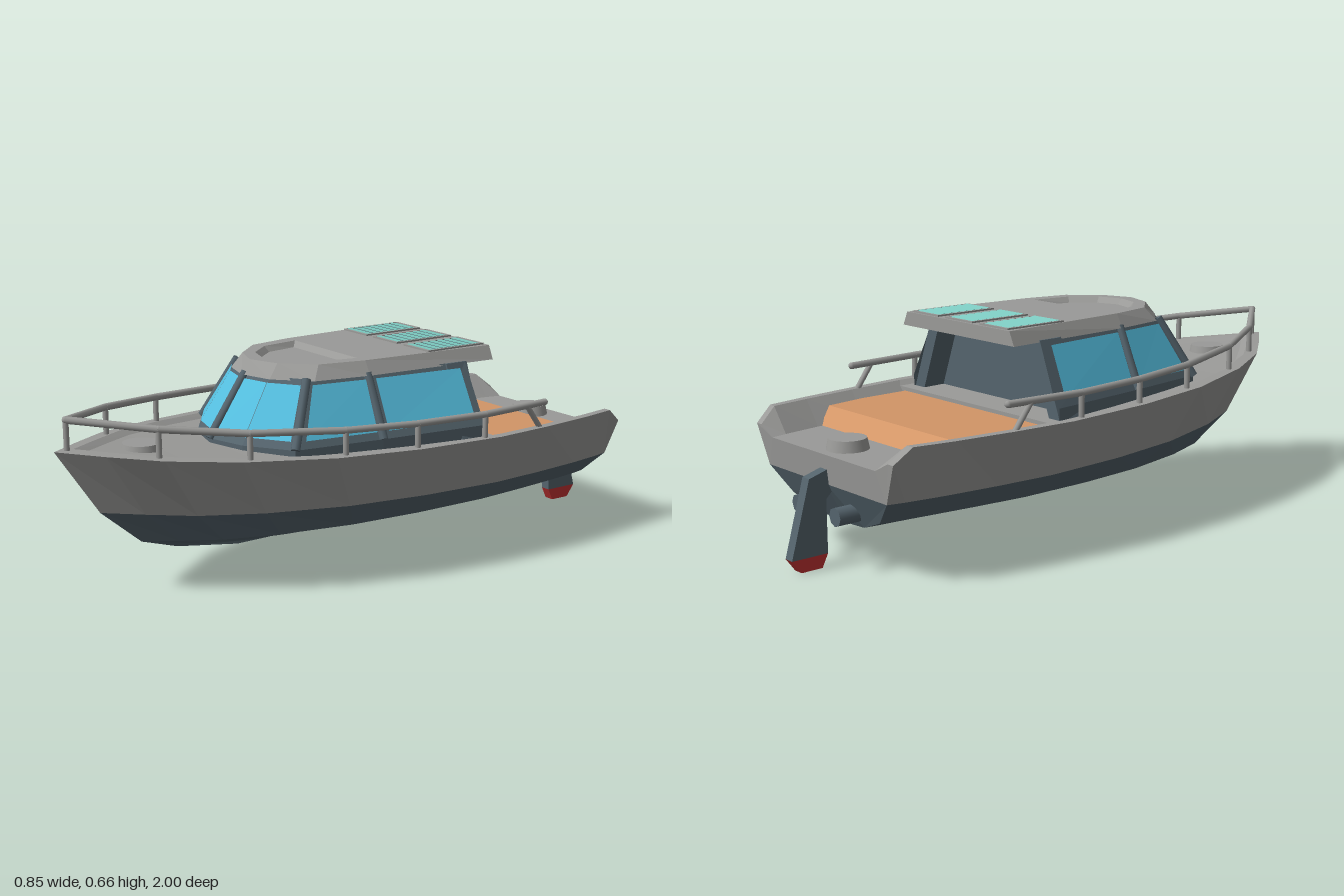
import * as THREE from 'three';

const material = (name, color, side = THREE.DoubleSide) =>
  Object.assign(new THREE.MeshStandardMaterial({ color, side }), { name });
const V = (x, y, z) => new THREE.Vector3(x, y, z);
const lerp = THREE.MathUtils.lerp;

export function createModel() {
  const boat = new THREE.Group();
  boat.name = 'motorBoat';
  const grey = material('hullGrey', 0x9a9a98);
  const slate = material('slate', 0x55646d);
  const glassBlue = material('glassBlue', 0x55bfe0);
  const wood = material('deckOrange', 0xd29567);
  const teal = material('louvreTeal', 0x7fcfc5);
  const red = material('finRed', 0xc03232);

  const add = (name, geometry, mat, parent = boat) => {
    const mesh = new THREE.Mesh(geometry, mat);
    mesh.name = name;
    parent.add(mesh);
    return mesh;
  };
  // flat-shaded mesh from four-cornered faces
  const addFaces = (name, quads, mat, parent) => {
    const pts = quads.flatMap(([a, b, c, d]) => [a, b, c, a, c, d]);
    const g = new THREE.BufferGeometry().setFromPoints(pts);
    g.computeVertexNormals();
    return add(name, g, mat, parent);
  };
  const flip = (p) => V(-p.x, p.y, p.z);
  const mirrored = (quads) => quads.concat(quads.map((q) => q.map(flip).reverse()));
  const strip = (a, b) => a.slice(1).map((p, i) => [a[i], p, b[i + 1], b[i]]);
  const rod = (name, a, b, r, mat, parent) => {
    const m = add(name, new THREE.CylinderGeometry(r, r, a.distanceTo(b), 8), mat, parent);
    m.position.copy(a).lerp(b, 0.5);
    m.quaternion.setFromUnitVectors(V(0, 1, 0), b.clone().sub(a).normalize());
    return m;
  };
  const outline = (half) => half.concat(half.slice(0, -1).reverse().map(([x, z]) => [-x, z]));
  const shape = (pts) => new THREE.Shape(pts.map(([x, y]) => new THREE.Vector2(x, y)));

  // Hull: [t along length, beam fraction, is this section in the aft cockpit]
  const stations = [
    [0, 0.81, 1], [0.03, 0.845, 1], [0.1, 0.9, 1], [0.2, 0.955, 1], [0.31, 1, 1], [0.31, 1, 0],
    [0.47, 0.975, 0], [0.62, 0.89, 0], [0.765, 0.7, 0], [0.87, 0.475, 0], [0.94, 0.23, 0], [1, 0, 0],
  ];
  const sections = stations.map(([t, w, aft]) => {
    const gy = t === 0 ? 0.36 : 0.405 + 0.06 * t ** 3;
    const deckY = aft ? 0.33 : gy - 0.015;
    const deckZ = lerp(-0.88, 0.9, t);
    return {
      keel: V(0, 0.08 + 0.03 * (1 - t) ** 1.5, lerp(-0.8, 0.4, t)),
      bilgeLow: V(0.14 * w, lerp(0.125, 0.112, t), lerp(-0.82, 0.61, t)),
      bilgeHigh: V(0.27 * w, lerp(0.165, 0.15, t), lerp(-0.84, 0.73, t)),
      chine: V(0.365 * w, 0.24 + 0.022 * t * t, lerp(-0.87, 0.86, t)),
      gunwale: V(0.423 * w, gy, lerp(-0.88, 0.995, t)),
      rim: V(0.392 * w, gy, lerp(-0.88, 0.935, t)),
      deck: V((aft ? 0.32 : 0.375) * w, deckY, deckZ),
      middle: V(0, deckY, deckZ),
    };
  });
  const loft = (rows) => mirrored(rows.slice(1).flatMap((row, i) =>
    strip(sections.map((s) => s[rows[i]]), sections.map((s) => s[row]))));
  addFaces('lowerHull', loft(['keel', 'bilgeLow', 'bilgeHigh', 'chine']), slate);
  addFaces('upperHullAndDeck', loft(['chine', 'gunwale', 'rim', 'deck', 'middle']), grey);

  // Transom, split at the chine
  const s0 = sections[0];
  const hub = V(0, 0.24, -0.87);
  addFaces('lowerTransom', mirrored([
    [hub, s0.chine, s0.bilgeHigh, s0.bilgeLow], [hub, s0.bilgeLow, s0.keel, hub]]), slate);
  addFaces('upperTransom', mirrored([
    [hub, s0.middle, s0.deck, s0.chine], [s0.deck, s0.rim, s0.gunwale, s0.chine]]), grey);

  // Raised cockpit floor with a sloping aft face
  const floorTop = [V(0.325, 0.38, -0.635), V(0.345, 0.38, -0.5), V(0.35, 0.38, -0.2)];
  const floorMid = floorTop.map((p) => V(0, p.y, p.z));
  addFaces('cockpitFloor', mirrored([...strip(floorTop, floorMid),
    [V(0.295, 0.325, -0.69), floorTop[0], floorMid[0], V(0, 0.325, -0.69)],
    [V(0.295, 0.325, -0.69), V(0.34, 0.325, -0.5), floorTop[1], floorTop[0]]]), wood);

  // Cabin walls, from the centre of the windscreen round to the rear post
  const cabin = new THREE.Group();
  cabin.name = 'cabin';
  boat.add(cabin);
  const sill = [[0, 0.49], [0.13, 0.455], [0.27, 0.36], [0.31, 0.07], [0.35, -0.29]]
    .map(([x, z]) => V(x, 0.43, z));
  const head = [[0, 0.36], [0.1, 0.335], [0.195, 0.27], [0.225, 0.07], [0.26, -0.28]]
    .map(([x, z]) => V(x, 0.618, z));
  const skirt = sill.map((p) => V(p.x, 0.39, p.z));
  addFaces('cabinWalls', mirrored([...strip(skirt, sill), ...strip(sill, head)]), slate, cabin);

  // Window panes set just proud of the walls
  const panes = [[0.14, 1], [0, 0.9], [0.1, 0.94], [0.06, 0.92]].map(([u0, u1], i) => {
    const at = (u, v) => sill[i].clone().lerp(sill[i + 1], u)
      .lerp(head[i].clone().lerp(head[i + 1], u), v);
    const n = sill[i + 1].clone().sub(sill[i]).cross(head[i].clone().sub(sill[i])).normalize();
    if (n.x + n.z < 0) n.negate();
    return [[u0, 0.11], [u1, 0.11], [u1, 0.9], [u0, 0.9]]
      .map(([u, v]) => at(u, v).addScaledVector(n, 0.006));
  });
  addFaces('windows', mirrored(panes), glassBlue, cabin);

  // Window pillars
  [1, -1].forEach((side) => [0, 2, 3].forEach((i) => {
    if (i === 0 && side < 0) return;
    const place = (p) => V(p.x * side, p.y, p.z);
    rod('windowPillar', place(sill[i]), place(head[i]), 0.014, slate, cabin);
  }));

  // Rear doorway and bulkhead
  const arch = shape([[-0.347, 0.39], [0.347, 0.39], [0.26, 0.618], [-0.26, 0.618]]);
  arch.holes.push(shape([[-0.3, 0.392], [-0.225, 0.59], [0.225, 0.59], [0.3, 0.392]]));
  add('rearDoorway', new THREE.ExtrudeGeometry(arch, { depth: 0.08, bevelEnabled: false }), slate, cabin)
    .position.z = -0.287;
  addFaces('bulkhead', mirrored([
    [V(0, 0.37, -0.21), V(0.33, 0.37, -0.21), V(0.25, 0.615, -0.21), V(0, 0.615, -0.21)]]), slate, cabin);

  // Roof with a sunken panel at the front
  const roof = new THREE.Group();
  roof.name = 'roof';
  boat.add(roof);
  const low = outline([[0.265, -0.39], [0.24, 0.07], [0.21, 0.25], [0.11, 0.345], [0, 0.375]]);
  const high = outline([[0.245, -0.39], [0.215, 0.07], [0.185, 0.22], [0.1, 0.31], [0, 0.345]]);
  const well = outline([[0.17, 0.07], [0.148, 0.2], [0.082, 0.275], [0, 0.3]]);
  const wellFloor = outline([[0.155, 0.085], [0.135, 0.19], [0.074, 0.26], [0, 0.283]]);
  const ring = (pts, y) => [...pts, pts[0]].map(([x, z]) => V(x, y, z));
  const cap = (name, pts, y, hole) => {
    const s = shape(pts);
    if (hole) s.holes.push(shape(hole));
    add(name, new THREE.ShapeGeometry(s).rotateX(Math.PI / 2), grey, roof).position.y = y;
  };
  addFaces('roofEdge', strip(ring(low, 0.612), ring(high, 0.655)), grey, roof);
  addFaces('roofWellEdge', strip(ring(well, 0.655), ring(wellFloor, 0.637)), grey, roof);
  cap('roofUnderside', low, 0.612);
  cap('roofTop', high, 0.655, well);
  cap('roofWellFloor', wellFloor, 0.637);

  // Roof louvres
  [-0.163, 0, 0.163].forEach((x) => {
    add('louvreBase', new THREE.BoxGeometry(0.125, 0.003, 0.21), slate, roof).position.set(x, 0.656, -0.272);
    for (let i = 0; i < 7; i++) {
      const slat = add('louvreSlat', new THREE.BoxGeometry(0.112, 0.003, 0.023), teal, roof);
      slat.position.set(x, 0.6585, -0.36 + i * 0.0293);
      slat.rotation.x = -0.12;
    }
    [-1, 1].forEach((e) => {
      add('louvreFrame', new THREE.BoxGeometry(0.008, 0.006, 0.22), grey, roof)
        .position.set(x + e * 0.06, 0.657, -0.272);
      add('louvreFrame', new THREE.BoxGeometry(0.128, 0.006, 0.008), grey, roof)
        .position.set(x, 0.657, -0.272 + e * 0.106);
    });
  });

  // Guard rail, one side then the other
  const railPath = [[0, 0.553, 0.955], [0.165, 0.53, 0.75], [0.28, 0.508, 0.52], [0.355, 0.492, 0.24],
    [0.387, 0.484, 0], [0.4, 0.48, -0.25], [0.38, 0.48, -0.51]];
  [1, -1].forEach((side) => {
    const rail = new THREE.Group();
    rail.name = side > 0 ? 'leftRail' : 'rightRail';
    boat.add(rail);
    const pts = railPath.map(([x, y, z]) => V(x * side, y, z));
    pts.forEach((p, i) => {
      if (i > 0) rod('railTube', pts[i - 1], p, 0.011, grey, rail);
      if (i < 6 && (i > 0 || side > 0)) {
        rod('railPost', V(p.x, 0.395 + 0.06 * ((p.z + 0.88) / 1.87) ** 3, p.z), p, 0.009, grey, rail);
      }
      add('railJoint', new THREE.SphereGeometry(0.011, 8, 6), grey, rail).position.copy(p);
    });
    rod('railEndStrut', V(0.385 * side, 0.4, -0.49), V(0.387 * side, 0.48, -0.43), 0.009, grey, rail);
  });

  // Round deck hatches
  [[0.435, 0.72], [0.345, -0.79]].forEach(([y, z]) => {
    add('deckHatch', new THREE.CylinderGeometry(0.056, 0.064, 0.036, 18).toNonIndexed(), grey).position.set(0, y, z);
  });

  // Stern drive, its red fin and the exhausts
  const drive = (name, pts, mat) => {
    const g = new THREE.ExtrudeGeometry(shape(pts), { depth: 0.034, bevelEnabled: false });
    add(name, g.translate(0, 0, -0.017).rotateY(-Math.PI / 2), mat);
  };
  drive('sternDrive', [[-0.86, 0.29], [-0.935, 0.268], [-1, 0.04], [-0.88, 0.04], [-0.88, 0.2], [-0.86, 0.22]], slate);
  drive('driveFin', [[-0.88, 0.04], [-1, 0.04], [-0.97, 0], [-0.9, 0]], red);
  [-0.095, 0.095].forEach((x) =>
    rod('exhaust', V(x, 0.168, -0.8), V(x, 0.168, -0.905), 0.028, slate));

  return boat;
}
